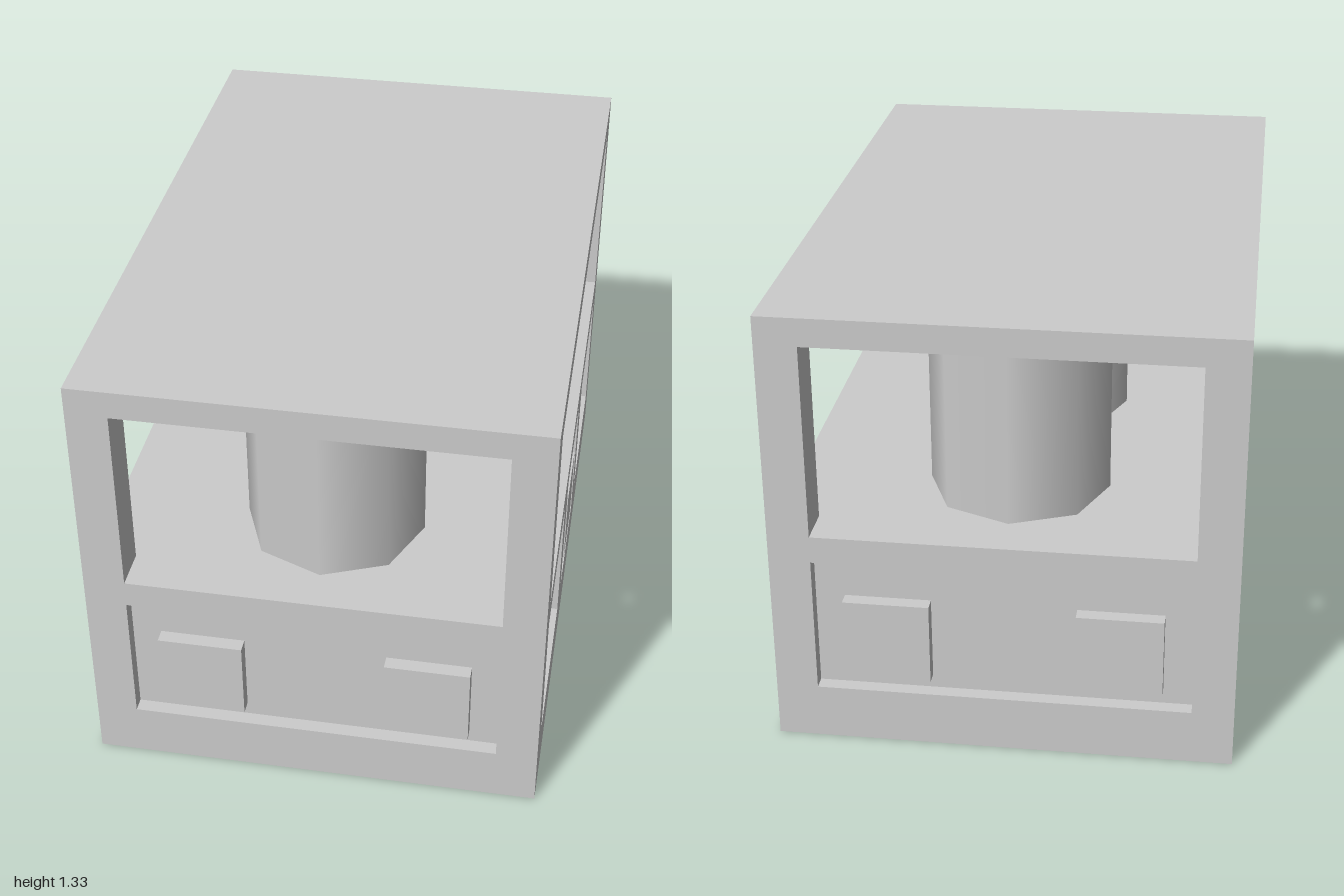
import * as THREE from 'three';

const W = 4 / 3, L = 2, H = 4 / 3;        // overall width, length, height
const FLOOR = 2 / 3, ROOF = 1.25;         // deck level and roof underside
const DEPTH = 0.042;                      // depth of the sunken panels
const PANEL = [0.167, 0.585];             // bottom and top of the panels
const POST_X = 0.122, POST_Z = 0.125;

export function createModel() {
  const model = new THREE.Group();
  const grey = new THREE.MeshStandardMaterial({ color: 0xcccccc });
  grey.name = 'plain grey';

  const add = (parent, name, geometry, x, y, z) => {
    const mesh = new THREE.Mesh(geometry, grey);
    mesh.name = name;
    mesh.position.set(x, y, z);
    parent.add(mesh);
    return mesh;
  };
  const box = (parent, name, w, h, d, x, y, z) =>
    add(parent, name, new THREE.BoxGeometry(w, h, d), x, y, z);

  // Wall sheet with rectangular cut-outs and square blocks standing in them
  function wall(name, width, distance, angle, panels, blocks) {
    const group = new THREE.Group();
    group.name = name;
    const shape = new THREE.Shape([
      [-width / 2, 0], [width / 2, 0], [width / 2, FLOOR], [-width / 2, FLOOR],
    ].map(p => new THREE.Vector2(...p)));
    for (const [a, b] of panels) {
      shape.holes.push(new THREE.Path([
        [a, PANEL[0]], [a, PANEL[1]], [b, PANEL[1]], [b, PANEL[0]],
      ].map(p => new THREE.Vector2(...p))));
    }
    const sheet = new THREE.ExtrudeGeometry(shape, { depth: DEPTH, bevelEnabled: false });
    add(group, name + 'Frame', sheet, 0, 0, distance - DEPTH);
    for (const x of blocks) {
      box(group, name + 'Block', 0.25, 0.25, DEPTH, x, 0.335, distance - DEPTH / 2);
    }
    group.rotation.y = angle;
    model.add(group);
  }

  // Solid base behind the wall sheets
  box(model, 'baseCore', W - 2 * DEPTH, FLOOR, L - 2 * DEPTH, 0, FLOOR / 2, 0);

  // Front and back each have one wide panel with two blocks
  const endWidth = W - 2 * DEPTH;
  wall('frontWall', endWidth, L / 2, 0, [[-0.545, 0.545]], [-0.335, 0.335]);
  wall('backWall', endWidth, L / 2, Math.PI, [[-0.545, 0.545]], [-0.335, 0.335]);

  // Long sides: the +x side has an extra middle panel with a block
  const outer = [[-0.875, -0.333], [0.333, 0.875]];
  wall('leftWall', L, W / 2, Math.PI / 2, [...outer, [-0.21, 0.21]], [0]);
  wall('rightWall', L, W / 2, -Math.PI / 2, outer, []);

  // Corner posts and roof slab
  for (const sx of [-1, 1]) {
    for (const sz of [-1, 1]) {
      box(model, 'cornerPost', POST_X, ROOF - FLOOR, POST_Z,
        sx * (W - POST_X) / 2, (ROOF + FLOOR) / 2, sz * (L - POST_Z) / 2);
    }
  }
  box(model, 'roof', W, H - ROOF, L, 0, (H + ROOF) / 2, 0);

  // Row of eight-sided, smooth-shaded columns between deck and roof
  const column = new THREE.CylinderGeometry(0.267, 0.267, ROOF - FLOOR, 8);
  for (const z of [0.602, 0.002, -0.588]) {
    add(model, 'column', column, 0, (ROOF + FLOOR) / 2, z);
  }

  return model;
}
